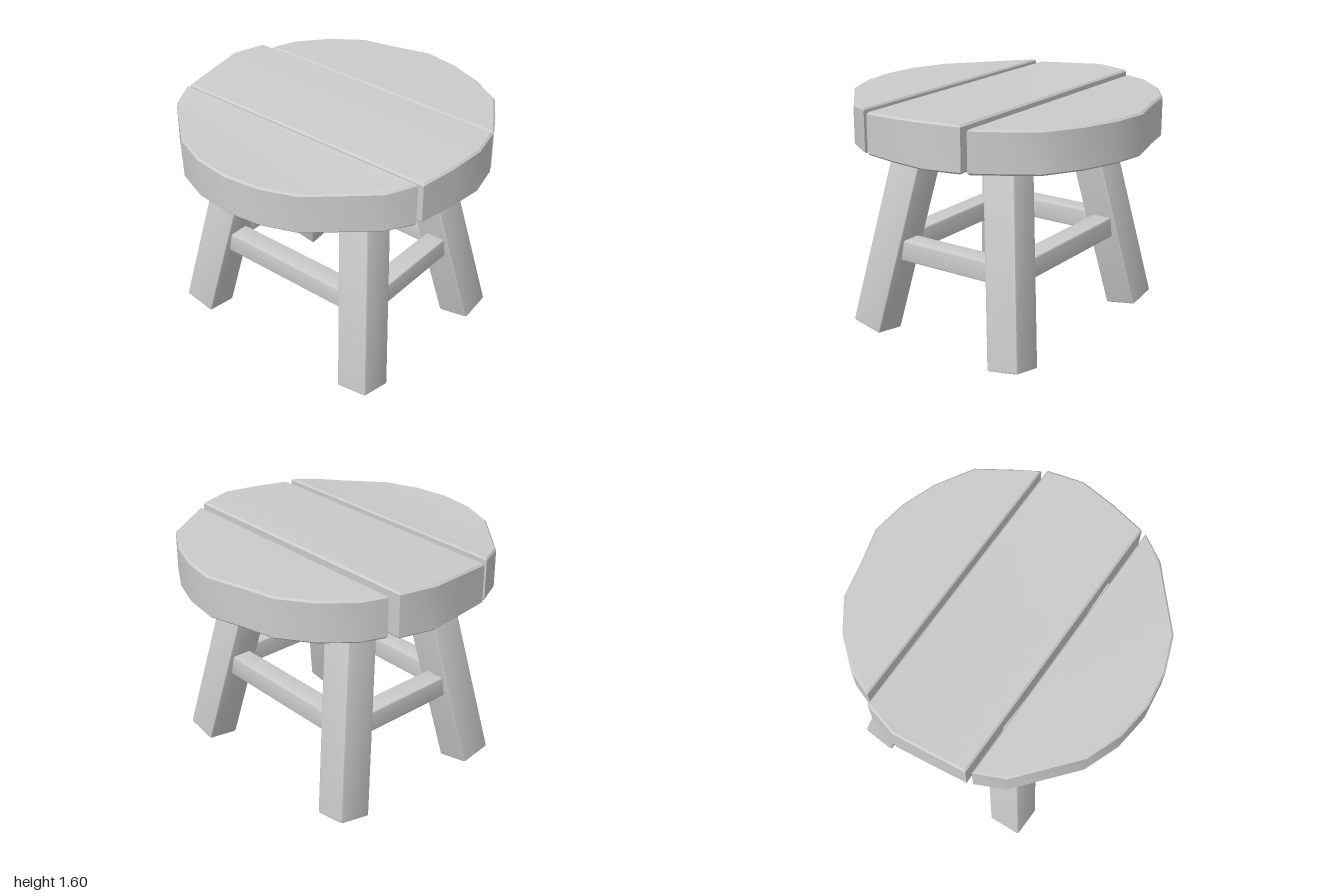
import * as THREE from 'three';
import { toCreasedNormals } from 'three/addons/utils/BufferGeometryUtils.js';
import { RoundedBoxGeometry } from 'three/addons/geometries/RoundedBoxGeometry.js';

const BEVEL = 0.012;
const SEAT_BOTTOM = 1.31;
const material = new THREE.MeshStandardMaterial({ color: 0xcccccc });

// Seat plank: outline of [x, z] points, with a rule giving the top height at x
function plank(name, outline, topAt) {
  const shape = new THREE.Shape(outline.map(([x, z]) => new THREE.Vector2(x, -z)));
  let geo = new THREE.ExtrudeGeometry(shape, {
    depth: 0.24, bevelEnabled: true, bevelSegments: 1,
    bevelSize: BEVEL, bevelThickness: BEVEL, bevelOffset: -BEVEL,
  });
  geo.rotateX(-Math.PI / 2);
  geo.translate(0, SEAT_BOTTOM + BEVEL, 0);
  const flatTop = SEAT_BOTTOM + 0.24 + 2 * BEVEL;
  const p = geo.attributes.position;
  for (let i = 0; i < p.count; i++) {
    if (p.getY(i) > 1.45) p.setY(i, p.getY(i) + topAt(p.getX(i)) - flatTop);
  }
  geo = toCreasedNormals(geo, 0.55);
  const mesh = new THREE.Mesh(geo, material);
  mesh.name = name;
  return mesh;
}

// Square bevelled beam running from a to b
function beam(name, a, b, size) {
  const dir = b.clone().sub(a);
  const length = dir.length();
  const geo = toCreasedNormals(new RoundedBoxGeometry(size, length, size, 1, BEVEL), 0.4);
  const mesh = new THREE.Mesh(geo, material);
  mesh.name = name;
  // Keep the sides of the beam facing the main axes
  const y = dir.normalize();
  const ref = Math.abs(y.x) > 0.8 ? new THREE.Vector3(0, 0, 1) : new THREE.Vector3(1, 0, 0);
  const x = ref.addScaledVector(y, -ref.dot(y)).normalize();
  const z = new THREE.Vector3().crossVectors(x, y);
  mesh.quaternion.setFromRotationMatrix(new THREE.Matrix4().makeBasis(x, y, z));
  mesh.position.copy(a).add(b).multiplyScalar(0.5);
  return mesh;
}

export function createModel() {
  const group = new THREE.Group();
  group.name = 'stool';

  // Three hand-cut seat planks
  const seat = new THREE.Group();
  seat.name = 'seat';
  seat.add(plank('rightPlank', [
    [-0.39, 0.92], [-0.39, -0.92], [-0.575, -0.83], [-0.88, -0.47], [-0.97, -0.24],
    [-1, 0], [-0.97, 0.235], [-0.885, 0.46], [-0.67, 0.7], [-0.565, 0.82],
  ], (x) => 1.575 + 0.09 * Math.max(0, x + 0.575)));
  seat.add(plank('middlePlank', [
    [-0.355, 0.935], [-0.12, 0.975], [0.12, 0.995], [0.35, 0.935],
    [0.345, -0.935], [0.115, -0.995], [-0.13, -0.965], [-0.355, -0.935],
  ], (x) => 1.605 - 0.058 * Math.max(0, 0.12 - x) - 0.02 * Math.max(0, x - 0.12)));
  seat.add(plank('leftPlank', [
    [0.385, 0.92], [0.55, 0.82], [0.74, 0.695], [0.88, 0.46], [0.96, 0.235], [0.995, 0],
    [0.93, -0.24], [0.88, -0.465], [0.74, -0.665], [0.55, -0.825], [0.385, -0.885],
  ], () => 1.58));
  group.add(seat);

  // Splayed legs: centre of the foot, and centre where the leg meets the seat
  const legs = [
    ['frontLeftLeg', [0.54, 0.04, 0.69], [0.33, 1.31, 0.44]],
    ['backLeftLeg', [0.555, 0.055, -0.7], [0.315, 1.31, -0.495]],
    ['backRightLeg', [-0.535, 0.06, -0.7], [-0.34, 1.31, -0.46]],
    ['frontRightLeg', [-0.56, 0.06, 0.68], [-0.315, 1.31, 0.485]],
  ].map(([name, foot, top]) => {
    const a = new THREE.Vector3(...foot);
    const b = new THREE.Vector3(...top);
    const at = (y) => a.clone().lerp(b, (y - a.y) / (b.y - a.y));
    group.add(beam(name, a, at(1.4), 0.225));
    return at;
  });

  // Rails joining neighbouring legs
  ['leftRail', 'backRail', 'rightRail', 'frontRail'].forEach((name, i) => {
    group.add(beam(name, legs[i](0.615), legs[(i + 1) % 4](0.615), 0.14));
  });
  return group;
}
